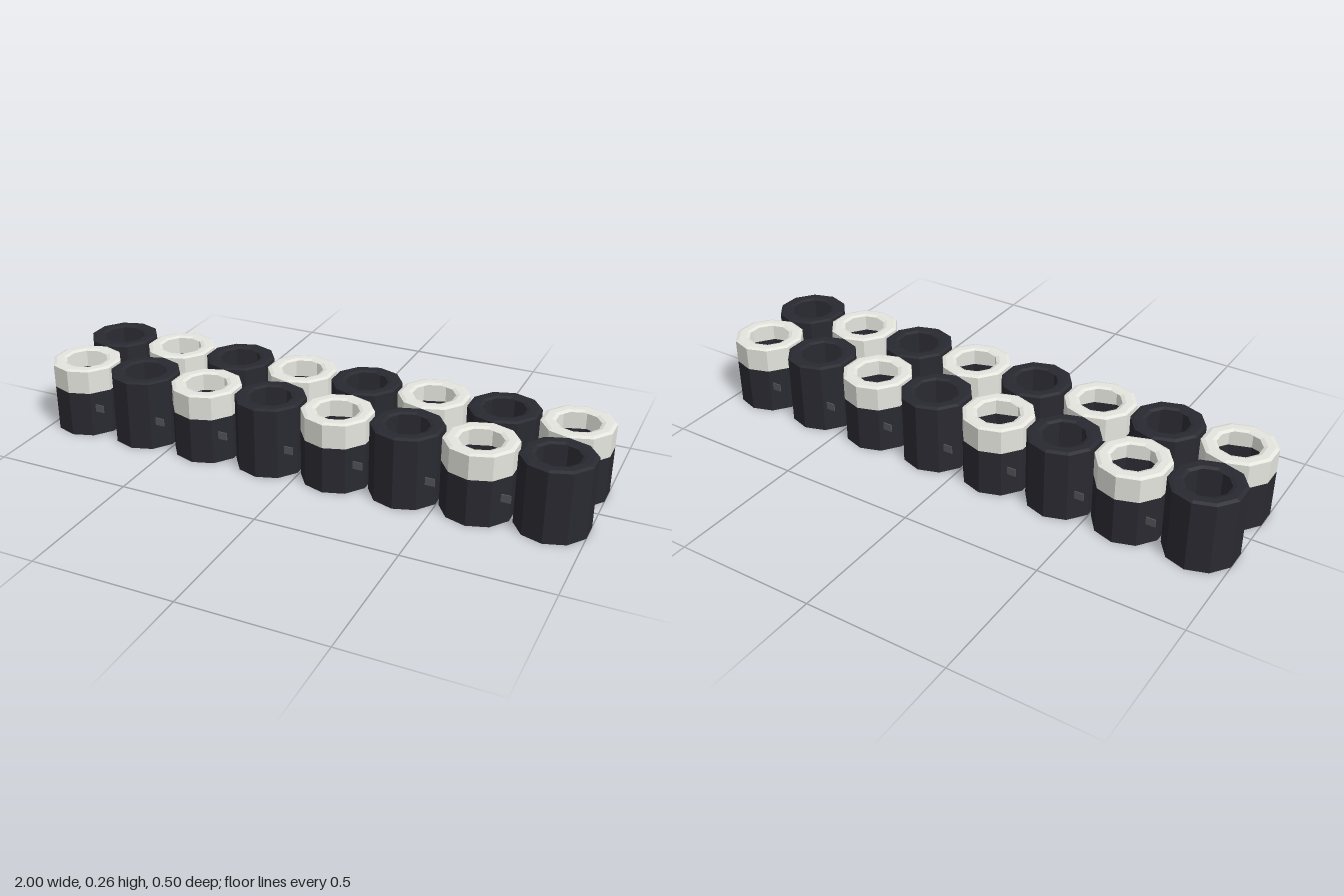
import * as THREE from 'three';

const SIDES = 10;
const R = 0.1258;      // outer radius of a cell
const HOLE = 0.075;    // radius of the opening
const H = 0.257;       // cell height
const EDGE = 0.0045;   // drop of the chamfers on the rim
const CAP_Y = 0.168;   // where the pale cap begins
const PITCH = 2 * R;
const COLUMNS = 8;

const material = (name, color) => {
  const m = new THREE.MeshStandardMaterial({ color, flatShading: true, side: THREE.DoubleSide });
  m.name = name;
  return m;
};

// Ten-sided surface turned from [radius, height] points
const turned = (points) =>
  new THREE.LatheGeometry(points.map(([r, y]) => new THREE.Vector2(r, y)), SIDES);

// Thin shell, open below, with a chamfered rim around the opening
const shell = (y0) =>
  turned([[R, y0], [R, H - EDGE], [R - 0.013, H], [HOLE + 0.013, H], [HOLE, H - EDGE]]);

export function createModel() {
  const model = new THREE.Group();
  model.name = 'cellPack';

  const dark = material('dark casing', 0x292931);
  const pale = material('pale cap', 0xe6e6df);
  const grey = material('grey clip', 0x55555a);

  const darkShell = shell(0);
  const paleCap = shell(CAP_Y);
  const lowerShell = turned([[R, 0], [R, CAP_Y]]);
  const clip = new THREE.BoxGeometry(0.033, 0.027, 0.004);

  const add = (parent, name, geometry, mat) => {
    const mesh = new THREE.Mesh(geometry, mat);
    mesh.name = name;
    parent.add(mesh);
    return mesh;
  };

  // Two rows of cells in a checkered pattern of dark and pale tops
  for (let row = 0; row < 2; row++) {
    const side = row === 0 ? 1 : -1;
    for (let i = 0; i < COLUMNS; i++) {
      const cell = new THREE.Group();
      cell.name = 'cell';
      cell.position.set((i - (COLUMNS - 1) / 2) * PITCH, 0, side * R);
      if ((i + row) % 2 === 0) {
        add(cell, 'cap', paleCap, pale);
        add(cell, 'casing', lowerShell, dark);
      } else {
        add(cell, 'casing', darkShell, dark);
      }
      model.add(cell);
    }

    // Small clips in the gaps between neighbours
    for (let i = 1; i < COLUMNS; i++) {
      add(model, 'clip', clip, grey).position.set((i - COLUMNS / 2) * PITCH, 0.128, side * 0.246);
    }
  }
  return model;
}
